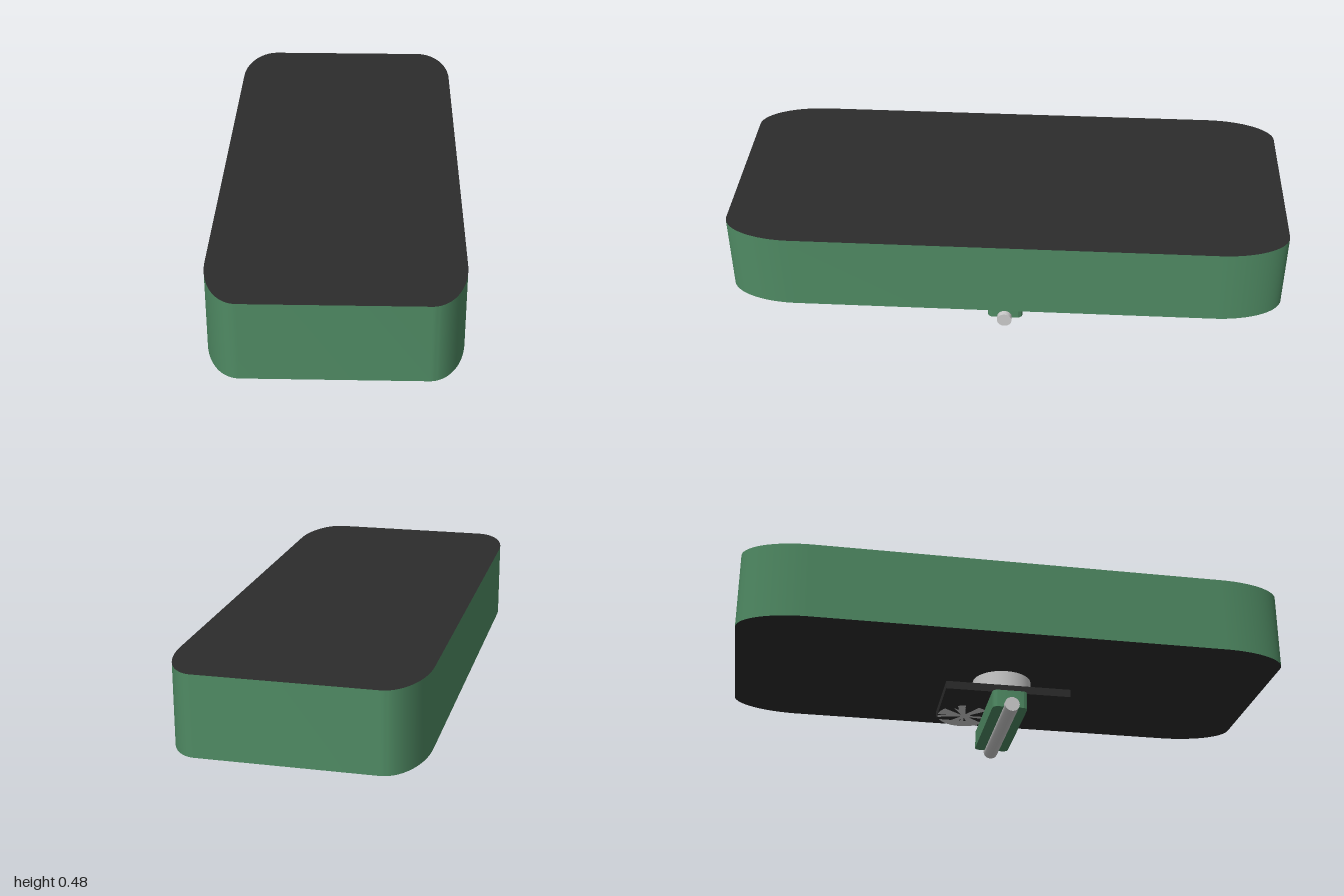
import * as THREE from 'three';
import { toCreasedNormals } from 'three/addons/utils/BufferGeometryUtils.js';

const paint = (color) => new THREE.MeshStandardMaterial({ color });

// Slab lying flat: half sizes w (x) and d (z), elliptical corners, from y0 to y1
function slab(w, d, rx, rz, y0, y1) {
  const s = new THREE.Shape();
  s.moveTo(w, -d + rz);
  [[1, 1], [-1, 1], [-1, -1], [1, -1]].forEach(([sx, sz], i) => {
    const cx = sx * (w - rx), cz = sz * (d - rz), a = i * Math.PI / 2;
    s.lineTo(cx + rx * Math.cos(a), cz + rz * Math.sin(a));
    s.absellipse(cx, cz, rx, rz, a, a + Math.PI / 2, false, 0);
  });
  const g = new THREE.ExtrudeGeometry(s, { depth: y1 - y0, bevelEnabled: false, curveSegments: 12 });
  g.rotateX(-Math.PI / 2).translate(0, y0, 0);
  return toCreasedNormals(g, 0.6);
}

export function createModel() {
  const model = new THREE.Group();
  const green = paint(0x4f8a63), black = paint(0x2c2c2c), grey = paint(0xcccccc);
  const add = (name, geometry, material, x = 0, y = 0, z = 0) => {
    const mesh = new THREE.Mesh(geometry, material);
    mesh.name = name;
    mesh.position.set(x, y, z);
    model.add(mesh);
    return mesh;
  };

  // Main body: dark flat faces, green rim
  add('body', slab(0.43, 1, 0.125, 0.25, 0.195, 0.48), [black, green]);

  // Mounting stem and plate under the body
  add('stem', new THREE.CylinderGeometry(0.11, 0.11, 0.08, 48), grey, 0, 0.157, 0);
  add('mountPlate', new THREE.BoxGeometry(0.29, 0.03, 0.465), black, 0, 0.106, 0.002);

  // Thin washer showing beside the plate
  add('washer', new THREE.CylinderGeometry(0.1, 0.1, 0.003, 32), grey, 0.1, 0.0925, -0.13);

  // Clamp block holding the cross rod
  add('clampBlock', slab(0.218, 0.065, 0.02, 0.02, 0.025, 0.091), green, 0.052, 0, 0.005);
  const rod = add('crossRod', new THREE.CylinderGeometry(0.0275, 0.0275, 0.48, 32), grey, 0.051, 0.0275, 0.007);
  rod.rotation.z = Math.PI / 2;

  return model;
}
